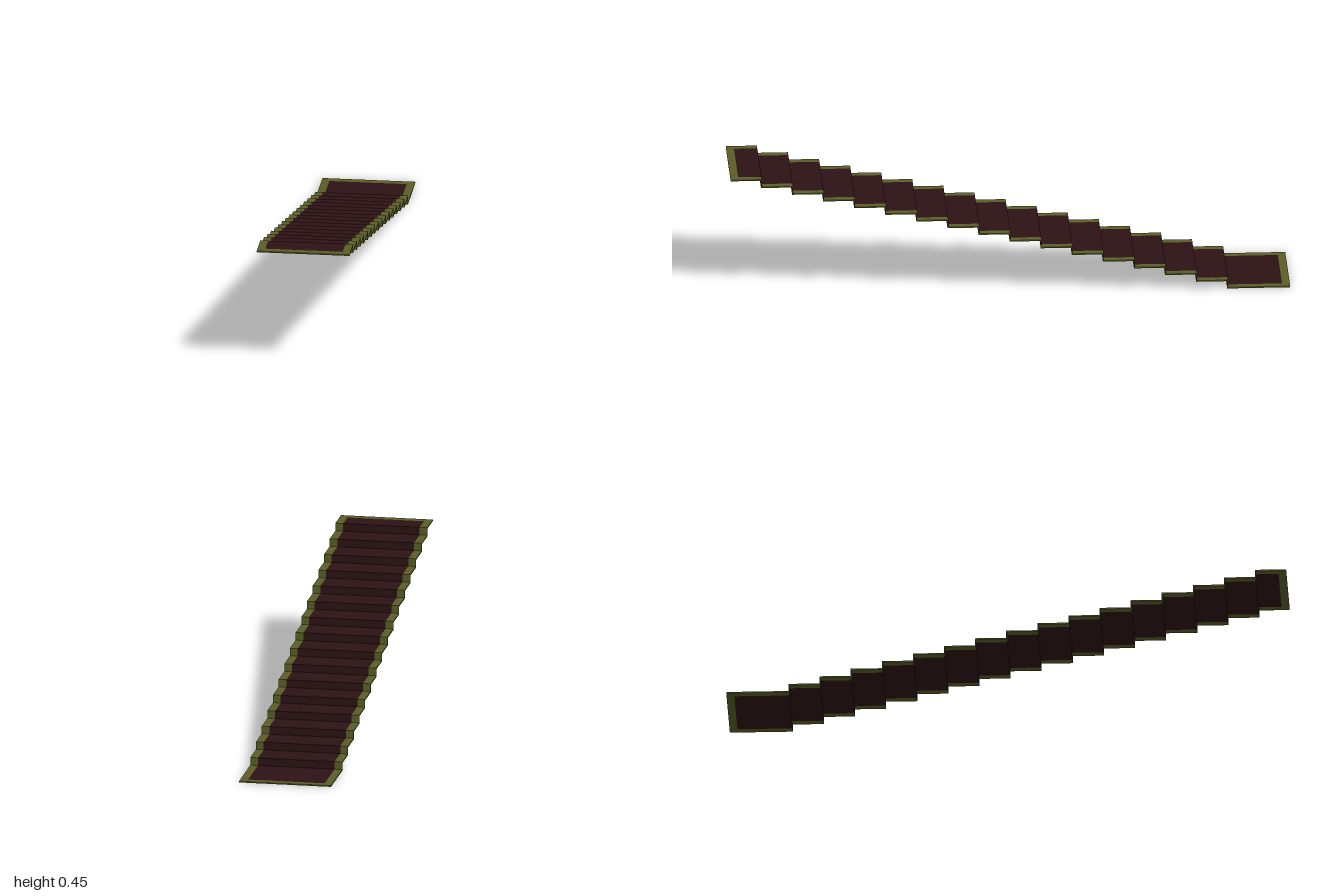
import * as THREE from 'three';

const STEPS = 16, RUN = 1 / 9, THICK = 0.0045, RISER = 0.003;
const RISE = (0.452 - THICK) / STEPS;
const HALF_WIDTH = 0.167, BORDER = 0.028;

const carpetMaterial = new THREE.MeshStandardMaterial({ color: 0x2c1214, side: THREE.DoubleSide });
const borderMaterial = new THREE.MeshStandardMaterial({ color: 0x5a5e26, side: THREE.DoubleSide });

// Thin stepped outline in (z, y), running down from zTop to zEnd
function runnerShape(zTop, zEnd) {
  const level = k => THICK + RISE * (STEPS - k);
  const upper = [[zTop, level(0)]];
  const lower = [[zTop, level(0) - THICK]];
  for (let k = 0; k < STEPS; k++) {
    const z = 1 - RUN * (k + 1);
    upper.push([z, level(k)], [z, level(k + 1)]);
    lower.push([z + RISER, level(k) - THICK], [z + RISER, level(k + 1) - THICK]);
  }
  upper.push([zEnd, THICK]);
  lower.push([zEnd, 0]);
  const outline = [...upper, ...lower.reverse()];
  return new THREE.Shape(outline.map(([z, y]) => new THREE.Vector2(z, y)));
}

// Stepped strip of the given width, centred on x
function strip(name, width, x, zTop, zEnd, material) {
  const geometry = new THREE.ExtrudeGeometry(runnerShape(zTop, zEnd), { depth: width, bevelEnabled: false });
  geometry.translate(0, 0, -width / 2).rotateY(-Math.PI / 2).translate(x, 0, 0);
  const mesh = new THREE.Mesh(geometry, material);
  mesh.name = name;
  return mesh;
}

export function createModel() {
  const group = new THREE.Group();
  group.name = 'stairRunner';
  const innerWidth = 2 * (HALF_WIDTH - BORDER);

  // Dark field of the carpet
  group.add(strip('carpetField', innerWidth, 0, 1 - BORDER, -1 + BORDER, carpetMaterial));

  // Side borders follow every step
  for (const side of [-1, 1]) {
    const name = side > 0 ? 'leftBorder' : 'rightBorder';
    group.add(strip(name, BORDER, side * (HALF_WIDTH - BORDER / 2), 1, -1, borderMaterial));
  }

  // End borders at the top landing and the floor
  for (const end of [-1, 1]) {
    const mesh = new THREE.Mesh(new THREE.BoxGeometry(innerWidth, THICK, BORDER), borderMaterial);
    mesh.position.set(0, THICK / 2 + (end > 0 ? RISE * STEPS : 0), end * (1 - BORDER / 2));
    mesh.name = end > 0 ? 'topEndBorder' : 'bottomEndBorder';
    group.add(mesh);
  }
  return group;
}
